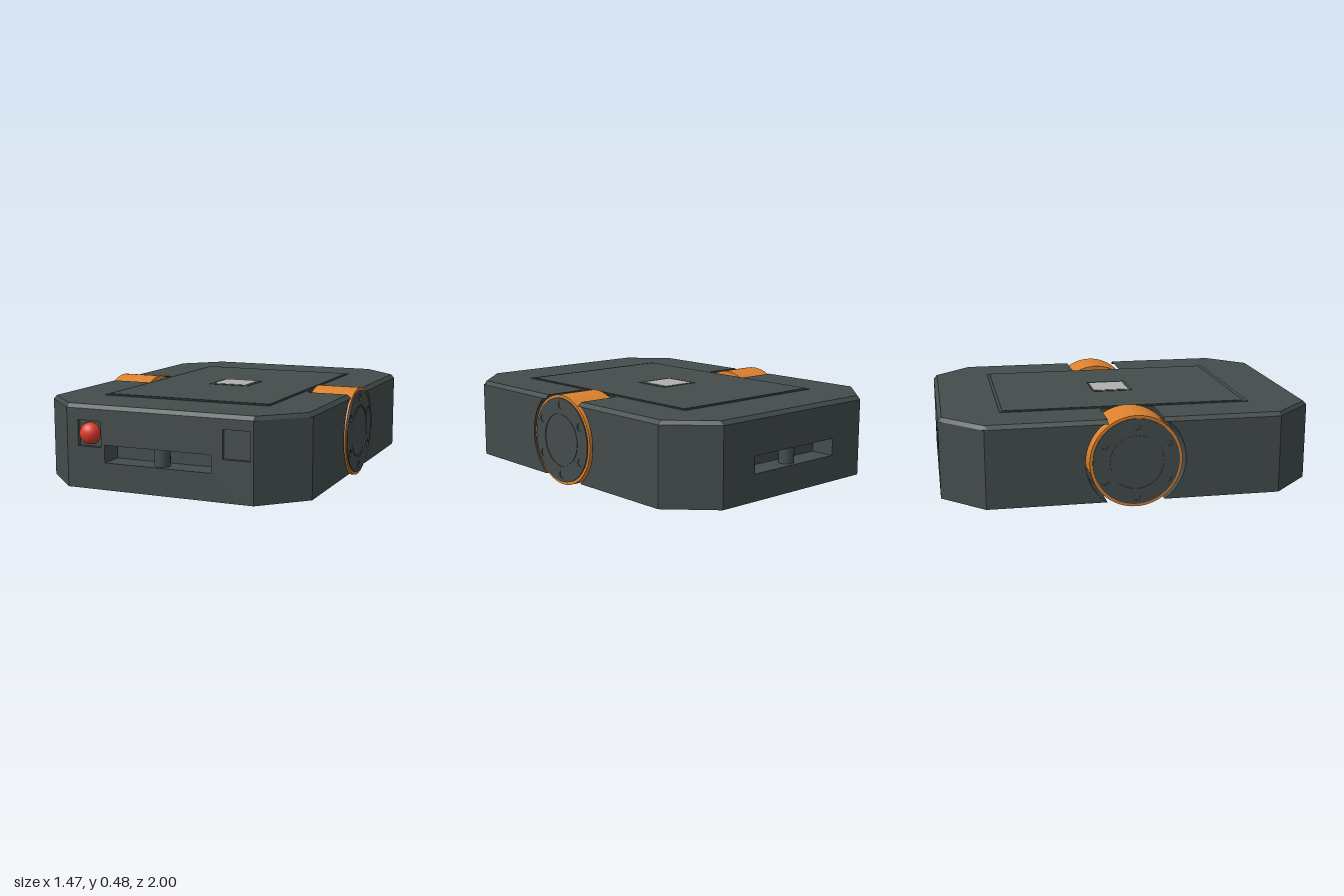
import * as THREE from 'three';
import { toCreasedNormals } from 'three/addons/utils/BufferGeometryUtils.js';

const mat = (name, color) => Object.assign(new THREE.MeshStandardMaterial({ color }), { name });

const END = 0.98, TOP = 0.46, BOTTOM = 0.03;   // half length and heights of the hull
const AXLE_Y = 0.243, WELL_R = 0.26;

export function createModel() {
  const dark = mat('dark shell', 0x444c4c);
  const orange = mat('orange tyre', 0xdc812e);
  const red = mat('red lamp', 0xdc3c2c);
  const grey = mat('grey sensor', 0xb0b0b0);

  const root = new THREE.Group();
  root.name = 'robotVehicle';
  const hull = new THREE.Group();
  hull.name = 'hull';
  hull.position.z = -0.02;
  root.add(hull);

  const add = (parent, name, geometry, material, x = 0, y = 0, z = 0) => {
    const m = new THREE.Mesh(geometry, material);
    m.name = name;
    m.position.set(x, y, z);
    parent.add(m);
    return m;
  };
  const box = (parent, name, w, h, d, material, x, y, z) =>
    add(parent, name, new THREE.BoxGeometry(w, h, d), material, x, y, z);

  // Moves every vertex of a geometry by a rule, then rebuilds the normals
  const reshape = (geometry, rule) => {
    const p = geometry.attributes.position, v = new THREE.Vector3();
    for (let i = 0; i < p.count; i++) {
      rule(v.fromBufferAttribute(p, i));
      p.setXYZ(i, v.x, v.y, v.z);
    }
    return geometry;
  };
  const rect = (Type, x0, y0, x1, y1) => new Type([
    new THREE.Vector2(x0, y0), new THREE.Vector2(x1, y0),
    new THREE.Vector2(x1, y1), new THREE.Vector2(x0, y1)]);
  const roundHole = (x, y, r) => new THREE.Path().absarc(x, y, r, 0, Math.PI * 2, true);

  // Side pods: arched wheel well, chamfered corner, bevelled top edge
  const sectionX = [0.48, 0.51, 0.708, 0.728];
  const sectionEnd = [0.5, END, 0.782, 0.762];
  const sidePod = (s) => {
    const cy = AXLE_Y, pts = [];
    const a0 = Math.asin((TOP - cy) / WELL_R), a1 = Math.asin((BOTTOM - cy) / WELL_R);
    for (let i = 0; i <= 20; i++) {
      const a = a1 + (a0 - a1) * i / 20;
      pts.push([WELL_R * Math.cos(a), cy + WELL_R * Math.sin(a)]);
    }
    pts.push([END - 0.02, TOP], [END, TOP - 0.02], [END, BOTTOM]);
    const shape = new THREE.Shape(pts.map(([a, y]) => new THREE.Vector2(-s * a, y)));
    const g = new THREE.ExtrudeGeometry(shape, { depth: 3, steps: 3, bevelEnabled: false });
    reshape(g, (v) => {
      const k = Math.round(v.z);
      if (Math.abs(v.x) > 0.9) v.x += s * (END - sectionEnd[k]);
      if (k === 3) v.y = Math.min(v.y, TOP - 0.02);
      v.z = sectionX[k];
    });
    g.rotateY(Math.PI / 2);
    return toCreasedNormals(g, 0.4);
  };
  for (const s of [1, -1]) {
    const g = sidePod(s);
    add(hull, 'sidePod', g, dark);
    add(hull, 'sidePod', g, dark).rotation.y = Math.PI;
  }

  // Core between the wheels
  box(hull, 'core', 0.96, TOP - BOTTOM, 0.6, dark, 0, (TOP + BOTTOM) / 2, 0);

  // End blocks with a hitch slot and, at the front, two lamp pockets
  const pockets = [[-0.447, 0.247, -0.315, 0.38], [0.35, 0.243, 0.494, 0.388]];
  const endBlock = (name, withLamps) => {
    const group = new THREE.Group();
    group.name = name;
    hull.add(group);
    const shape = rect(THREE.Shape, -0.51, BOTTOM, 0.51, TOP);
    const holes = [[[-0.295, 0.17, 0.29, 0.26], 0.13]];
    if (withLamps) pockets.forEach((p) => holes.push([p, 0.02]));
    for (const [[x0, y0, x1, y1], depth] of holes) {
      shape.holes.push(rect(THREE.Path, x0, y0, x1, y1));
      box(group, 'recessBack', x1 - x0 + 0.004, y1 - y0 + 0.004, 0.1, dark,
        (x0 + x1) / 2, (y0 + y1) / 2, END - depth - 0.05);
    }
    const g = new THREE.ExtrudeGeometry(shape, { depth: 2, steps: 2, bevelEnabled: false });
    reshape(g, (v) => {
      const k = Math.round(v.z);
      if (k === 2) v.y = Math.min(v.y, TOP - 0.02);
      v.z = [0.3, END - 0.02, END][k];
    });
    add(group, 'endShell', toCreasedNormals(g, 0.4), dark);
    add(group, 'hitchPin', new THREE.CylinderGeometry(0.04, 0.04, 0.09, 24), dark, 0, 0.215, END - 0.06);
    return group;
  };
  const front = endBlock('frontEnd', true);
  endBlock('rearEnd', false).rotation.y = Math.PI;

  // Lamp dome
  const lamp = add(front, 'redLamp', new THREE.SphereGeometry(0.056, 32, 20), red, -0.381, 0.314, END - 0.01);
  lamp.scale.z = 0.85;

  // Top panel with thin rim and central sensor
  box(root, 'panelRim', 0.935, 0.006, 1.33, dark, -0.002, TOP, -0.02);
  box(root, 'topPanel', 0.912, 0.006, 1.29, dark, 0, TOP + 0.003, -0.025);
  box(root, 'sensorFrame', 0.235, 0.006, 0.22, dark, -0.002, TOP + 0.005, -0.027);
  box(root, 'sensor', 0.197, 0.006, 0.195, grey, -0.004, TOP + 0.007, -0.033);

  // Wheels: tyre, backing plate, hub ring with bolt holes, centre cap
  const hubShape = new THREE.Shape().absarc(0, 0, 0.225, 0, Math.PI * 2);
  hubShape.holes.push(roundHole(0, 0, 0.143));
  for (let i = 0; i < 6; i++) {
    const a = Math.PI / 6 + i * Math.PI / 3;
    hubShape.holes.push(roundHole(0.187 * Math.cos(a), 0.187 * Math.sin(a), 0.02));
  }
  const hubGeo = toCreasedNormals(new THREE.ExtrudeGeometry(hubShape,
    { depth: 0.006, bevelEnabled: false, curveSegments: 32 }), 0.4);
  const disc = (r, w) => new THREE.CylinderGeometry(r, r, w, 64).rotateX(Math.PI / 2);
  for (const s of [1, -1]) {
    const wheel = new THREE.Group();
    wheel.name = s > 0 ? 'leftWheel' : 'rightWheel';
    wheel.position.set(0, AXLE_Y - 0.003, -0.02);
    wheel.rotation.y = s * Math.PI / 2;
    add(wheel, 'tyre', disc(0.24, 0.235), orange, 0, 0, 0.6125);
    add(wheel, 'axle', disc(0.06, 0.06), dark, 0, 0, 0.48);
    add(wheel, 'backingPlate', disc(0.225, 0.004), dark, 0, 0, 0.73);
    add(wheel, 'hubRing', hubGeo, dark, 0, 0, 0.73);
    add(wheel, 'hubCap', disc(0.136, 0.005), dark, 0, 0, 0.732);
    root.add(wheel);
  }
  return root;
}
